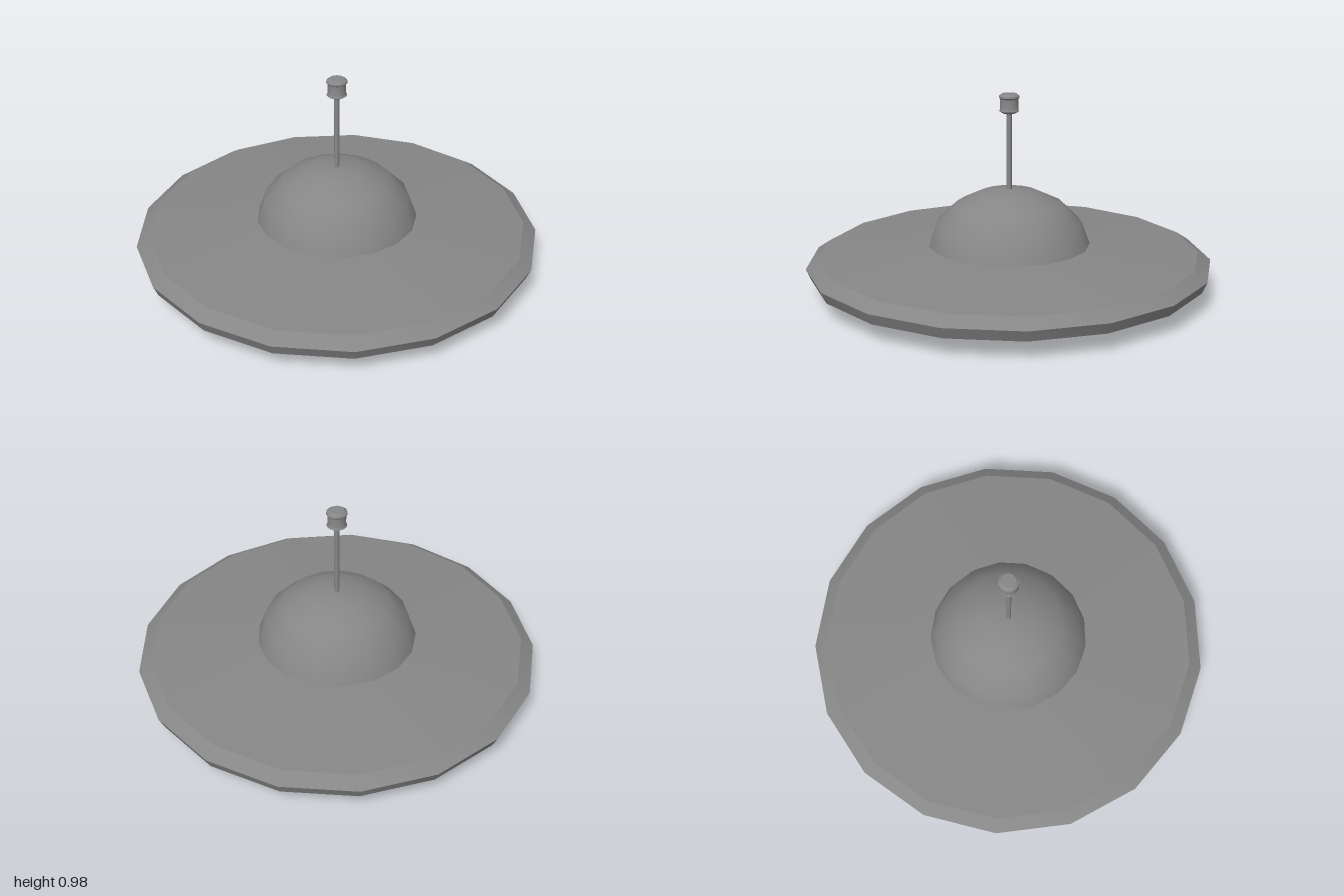
import * as THREE from 'three';
import { toCreasedNormals } from 'three/addons/utils/BufferGeometryUtils.js';

const SIDES = 17;
const material = new THREE.MeshStandardMaterial({ color: 0x868686 });

// Turned part from a [radius, height] profile listed bottom to top,
// with one corner pointing to the back; edges sharper than crease stay hard
function turned(name, crease, profile) {
  const points = profile.map(([r, y]) => new THREE.Vector2(r, y));
  const lathe = new THREE.LatheGeometry(points, SIDES, Math.PI);
  const mesh = new THREE.Mesh(toCreasedNormals(lathe, crease), material);
  mesh.name = name;
  return mesh;
}

export function createModel() {
  const saucer = new THREE.Group();
  saucer.name = 'saucer';

  // Hull: recessed belly, sloped underside, bevelled rim, shallow top
  saucer.add(turned('hull', 0.4, [
    [0, 0.08], [0.18, 0.08], [0.335, 0],
    [0.98, 0.09], [1.004, 0.145], [0.94, 0.187], [0.4, 0.23],
  ]));

  // Cockpit dome, closing the hull
  saucer.add(turned('dome', 0.9, [
    [0.4, 0.23], [0.36, 0.34], [0.265, 0.432], [0.143, 0.49], [0, 0.508],
  ]));

  // Antenna mast
  saucer.add(turned('antennaMast', 0.5, [[0.013, 0.5], [0.013, 0.9]]));

  // Antenna knob: flared collars above and below a narrower waist
  saucer.add(turned('antennaKnob', 0.5, [
    [0, 0.884], [0.03, 0.884], [0.049, 0.896], [0.044, 0.906],
    [0.044, 0.955], [0.051, 0.962], [0.05, 0.97], [0.035, 0.981], [0, 0.982],
  ]));

  // The odd number of sides needs a small shift to centre the bounds
  saucer.position.z = 0.009;

  const model = new THREE.Group();
  model.name = 'flyingSaucer';
  model.add(saucer);
  return model;
}
